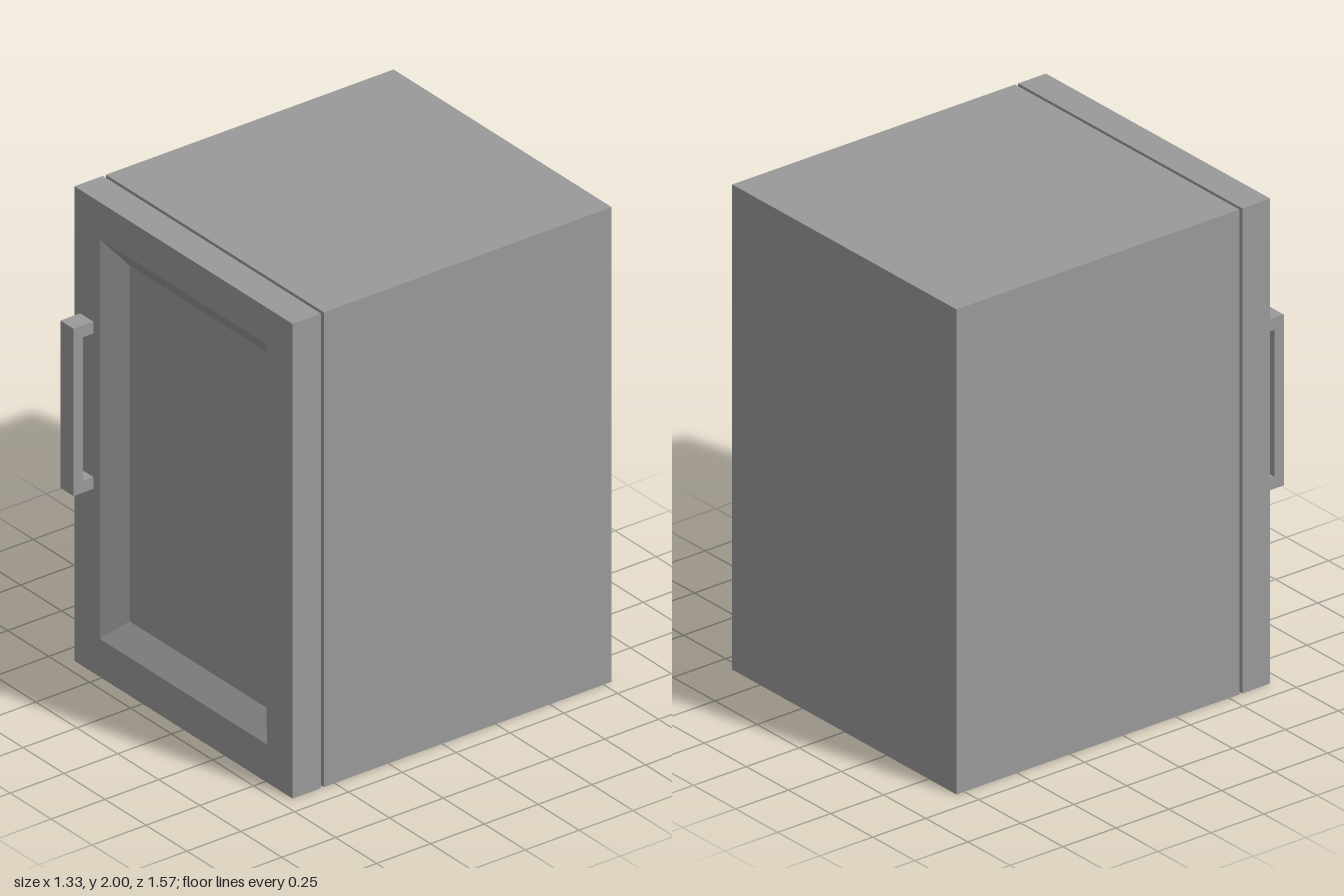
import * as THREE from 'three';

const WIDTH = 1.33, HEIGHT = 2;
const BACK = -0.787, BODY_FRONT = 0.549, DOOR_BACK = 0.563, DOOR_FRONT = 0.695, HANDLE_FRONT = 0.787;

// Rectangle corners, anticlockwise as seen from the front
function ring(halfW, y0, y1, z) {
  return [[-halfW, y0, z], [halfW, y0, z], [halfW, y1, z], [-halfW, y1, z]];
}

// Flat-faced solid through a series of rectangular rings, capped at both ends
function loftRings(rings) {
  const positions = [];
  const quad = (a, b, c, d) => positions.push(...a, ...b, ...c, ...a, ...c, ...d);
  for (let r = 0; r < rings.length - 1; r++) {
    for (let i = 0; i < 4; i++) {
      const j = (i + 1) % 4;
      quad(rings[r][i], rings[r][j], rings[r + 1][j], rings[r + 1][i]);
    }
  }
  quad(...[...rings[0]].reverse());
  quad(...rings[rings.length - 1]);
  const geometry = new THREE.BufferGeometry();
  geometry.setAttribute('position', new THREE.Float32BufferAttribute(positions, 3));
  geometry.computeVertexNormals();
  return geometry;
}

export function createModel() {
  const model = new THREE.Group();
  model.name = 'miniFridge';
  const grey = new THREE.MeshStandardMaterial({ color: 0x999999 });
  grey.name = 'grey';

  const add = (name, geometry) => {
    const mesh = new THREE.Mesh(geometry, grey);
    mesh.name = name;
    model.add(mesh);
    return mesh;
  };

  // Cabinet
  const cabinet = add('cabinet', new THREE.BoxGeometry(WIDTH, HEIGHT, BODY_FRONT - BACK));
  cabinet.position.set(0, HEIGHT / 2, (BODY_FRONT + BACK) / 2);

  // Door with a bevelled recessed panel, set off from the cabinet by a thin gap
  add('door', loftRings([
    ring(WIDTH / 2, 0, HEIGHT, DOOR_BACK),
    ring(WIDTH / 2, 0, HEIGHT, DOOR_FRONT),
    ring(0.51, 0.16, 1.845, DOOR_FRONT),
    ring(0.417, 0.253, 1.752, DOOR_FRONT - 0.067),
  ]));

  // Bracket handle: side profile (z, y) extruded across x
  const low = 0.775, high = 1.48, post = 0.05, grip = 0.742;
  const profile = new THREE.Shape([
    [DOOR_FRONT, low], [HANDLE_FRONT, low], [HANDLE_FRONT, high], [DOOR_FRONT, high],
    [DOOR_FRONT, high - post], [grip, high - post], [grip, low + post], [DOOR_FRONT, low + post],
  ].map(([z, y]) => new THREE.Vector2(z, y)));
  const handle = new THREE.ExtrudeGeometry(profile, { depth: 0.08, bevelEnabled: false });
  handle.rotateY(-Math.PI / 2).translate(-0.55, 0, 0);
  add('handle', handle);

  return model;
}
